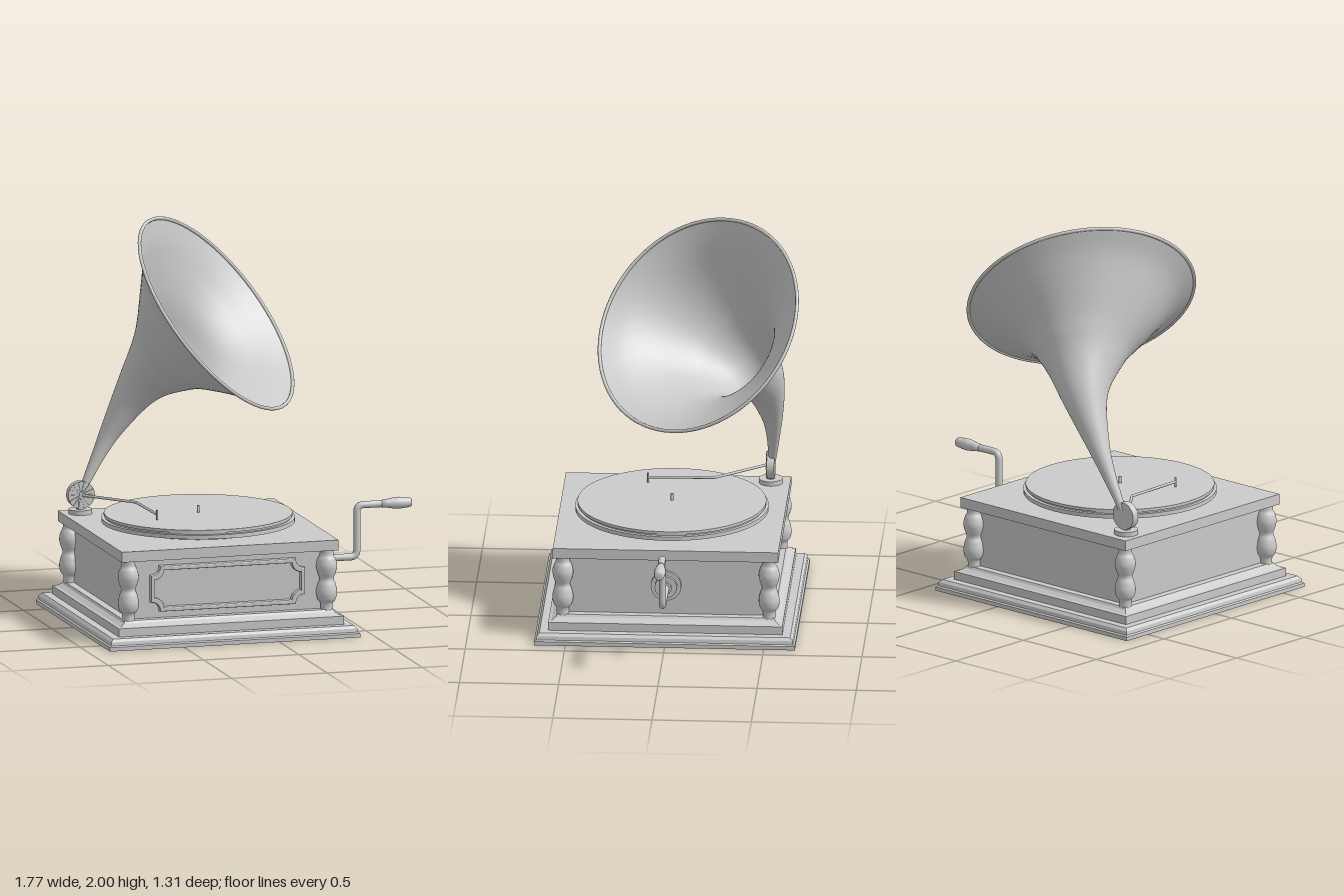
import * as THREE from 'three';

const CX = -0.2325; // cabinet centre in x
const V3 = (x, y, z) => new THREE.Vector3(x, y, z);

function material(extra = {}) {
  return new THREE.MeshStandardMaterial({ color: 0xcccccc, ...extra });
}

function add(parent, name, geometry, position = [0, 0, 0], extra) {
  const mesh = new THREE.Mesh(geometry, material(extra));
  mesh.name = name;
  mesh.position.set(...position);
  parent.add(mesh);
  return mesh;
}

const lathe = (points, segments = 32, start = 0) =>
  new THREE.LatheGeometry(points.map(([r, y]) => new THREE.Vector2(r, y)), segments, start);

const disc = (r, y0, y1, segments = 64) =>
  new THREE.CylinderGeometry(r, r, y1 - y0, segments).translate(0, (y0 + y1) / 2, 0);

// Rectangle whose corners are cut by concave quarter circles
function notchedRect(path, w, h, r) {
  path.moveTo(-w + r, -h);
  path.lineTo(w - r, -h);
  path.absarc(w, -h, r, Math.PI, Math.PI / 2, true);
  path.lineTo(w, h - r);
  path.absarc(w, h, r, -Math.PI / 2, -Math.PI, true);
  path.lineTo(-w + r, h);
  path.absarc(-w, h, r, 0, -Math.PI / 2, true);
  path.lineTo(-w, -h + r);
  path.absarc(-w, -h, r, Math.PI / 2, 0, true);
  return path;
}

function buildCabinet(root) {
  const cabinet = new THREE.Group();
  cabinet.name = 'cabinet';
  cabinet.position.x = CX;
  root.add(cabinet);

  // Moulded square plinth: a four-sided lathe
  const plinth = [[0, 0], [0.657, 0], [0.657, 0.02], [0.648, 0.026], [0.645, 0.044], [0.632, 0.058],
    [0.59, 0.058], [0.59, 0.1], [0.575, 0.104], [0.553, 0.118], [0.545, 0.13], [0, 0.13]]
    .map(([r, y]) => [r * Math.SQRT2, y]);
  add(cabinet, 'plinth', lathe(plinth, 4, Math.PI / 4).toNonIndexed(), [0, 0, 0], { flatShading: true });
  add(cabinet, 'body', new THREE.BoxGeometry(1.01, 0.31, 1.01), [0, 0.283, 0]);
  add(cabinet, 'lid', new THREE.BoxGeometry(1.136, 0.053, 1.136), [0, 0.461, 0]);

  // Turned corner posts
  const outline = new THREE.SplineCurve([[0.031, 0.125], [0.032, 0.16], [0.046, 0.18], [0.053, 0.215],
    [0.046, 0.255], [0.036, 0.285], [0.046, 0.315], [0.053, 0.35], [0.046, 0.385], [0.035, 0.408],
    [0.035, 0.436]].map(([r, y]) => new THREE.Vector2(r, y)));
  const post = new THREE.LatheGeometry(outline.getPoints(40), 24);
  for (const sx of [-1, 1]) {
    for (const sz of [-1, 1]) add(cabinet, 'cornerPost', post, [sx * 0.52, 0, sz * 0.52]);
  }

  // Raised frame on the front
  const frame = notchedRect(new THREE.Shape(), 0.4, 0.112, 0.048);
  frame.holes.push(notchedRect(new THREE.Path(), 0.387, 0.099, 0.048));
  add(cabinet, 'frontFrame', new THREE.ExtrudeGeometry(frame, {
    depth: 0.022, bevelSize: 0.005, bevelThickness: 0.008, bevelSegments: 2, curveSegments: 10,
  }), [0, 0.281, 0.505]);
}

function buildTurntable(root) {
  const turntable = new THREE.Group();
  turntable.name = 'turntable';
  turntable.position.x = CX;
  root.add(turntable);
  add(turntable, 'turntableHub', disc(0.378, 0.485, 0.512));
  add(turntable, 'platter', disc(0.487, 0.511, 0.532));
  add(turntable, 'platterStep', disc(0.468, 0.53, 0.54));
  add(turntable, 'record', disc(0.475, 0.54, 0.555));
  add(turntable, 'spindle', disc(0.007, 0.55, 0.59, 12));
}

function buildCrank(root) {
  const crank = new THREE.Group();
  crank.name = 'crank';
  crank.position.y = 0.281;
  root.add(crank);
  // Stepped flange on the cabinet side
  const flange = [[0, 0], [0.077, 0], [0.077, 0.018], [0.056, 0.018], [0.056, 0.038], [0.03, 0.038],
    [0.03, 0.055], [0, 0.055]];
  add(crank, 'crankFlange', lathe(flange).toNonIndexed().rotateZ(-Math.PI / 2), [0.272, 0, 0], { flatShading: true });

  // Rod with two rounded bends
  const path = new THREE.CurvePath();
  const b = 0.035, x = 0.6, h = 0.264;
  path.add(new THREE.LineCurve3(V3(0.28, 0, 0), V3(x - b, 0, 0)));
  path.add(new THREE.QuadraticBezierCurve3(V3(x - b, 0, 0), V3(x, 0, 0), V3(x, b, 0)));
  path.add(new THREE.LineCurve3(V3(x, b, 0), V3(x, h - b, 0)));
  path.add(new THREE.QuadraticBezierCurve3(V3(x, h - b, 0), V3(x, h, 0), V3(x + b, h, 0)));
  path.add(new THREE.LineCurve3(V3(x + b, h, 0), V3(0.74, h, 0)));
  add(crank, 'crankRod', new THREE.TubeGeometry(path, 100, 0.018, 16));

  const grip = [[0, 0], [0.019, 0], [0.022, 0.03], [0.029, 0.07], [0.03, 0.095], [0.026, 0.135],
    [0.023, 0.152], [0.018, 0.157], [0, 0.157]];
  add(crank, 'crankHandle', lathe(grip, 20).rotateZ(-Math.PI / 2), [0.728, h, 0]);
}

function buildToneArm(root) {
  const arm = new THREE.Group();
  arm.name = 'toneArm';
  root.add(arm);
  add(arm, 'armBase', disc(0.06, 0.485, 0.511, 32), [-0.712, 0, -0.47]);
  add(arm, 'armNeck', disc(0.022, 0.5, 0.56, 16), [-0.712, 0, -0.47]);
  // Round sound box with radial ribs on its face
  add(arm, 'soundBox', new THREE.CylinderGeometry(0.07, 0.07, 0.038, 32).rotateX(Math.PI / 2), [-0.71, 0.583, -0.472]);
  for (let i = 0; i < 14; i++) {
    const rib = new THREE.BoxGeometry(0.054, 0.006, 0.006).translate(0.04, 0, 0).rotateZ(i * Math.PI / 7);
    add(arm, 'soundBoxRib', rib, [-0.71, 0.583, -0.451]);
  }
  add(arm, 'soundBoxCentre', new THREE.CylinderGeometry(0.014, 0.014, 0.01, 16).rotateX(Math.PI / 2), [-0.71, 0.583, -0.45]);

  // Bent rod and needle
  const rod = new THREE.CurvePath();
  const bend = V3(-0.5, 0.583, -0.2);
  rod.add(new THREE.LineCurve3(V3(-0.71, 0.583, -0.455), bend));
  rod.add(new THREE.LineCurve3(bend, V3(-0.487, 0.583, 0.135)));
  add(arm, 'armRod', new THREE.TubeGeometry(rod, 40, 0.007, 10));
  add(arm, 'needle', disc(0.005, 0.556, 0.606, 10), [-0.487, 0, 0.135]);
}

function buildHorn(root) {
  const horn = new THREE.Group();
  horn.name = 'horn';
  root.add(horn);
  const mouth = V3(-0.097, 1.54, -0.14);
  const facing = V3(0.636, 0.615, 0.466).normalize();
  const axis = new THREE.CatmullRomCurve3([V3(-0.7, 0.6, -0.478), V3(-0.615, 0.77, -0.488), V3(-0.535, 0.92, -0.485),
    V3(-0.4, 1.145, -0.44), V3(-0.28, 1.315, -0.325), mouth.clone().addScaledVector(facing, -0.12), mouth]);
  const length = axis.getLength();

  // Flare: distance behind the mouth against radius
  const flare = new THREE.SplineCurve([[length, 0.017], [0.98, 0.038], [0.8, 0.068], [0.62, 0.11], [0.45, 0.175],
    [0.3, 0.26], [0.17, 0.37], [0.07, 0.475], [0, 0.575]].map(([d, r]) => new THREE.Vector2(d, r)));
  const rings = 64, sides = 64;
  const frames = axis.computeFrenetFrames(200, false);
  const positions = [], index = [];
  for (let i = 0; i <= rings; i++) {
    const { x: d, y: r } = flare.getPoint(i / rings);
    const u = THREE.MathUtils.clamp(1 - d / length, 0, 1);
    const c = axis.getPointAt(u);
    // Blend the section plane towards the mouth plane
    const t = axis.getTangentAt(u).lerp(facing, THREE.MathUtils.smoothstep(u, 0.6, 1)).normalize();
    const n = frames.normals[Math.round(u * 200)].clone();
    n.addScaledVector(t, -n.dot(t)).normalize();
    const b = t.clone().cross(n);
    for (let j = 0; j < sides; j++) {
      const a = j / sides * Math.PI * 2;
      const p = c.clone().addScaledVector(n, r * Math.cos(a)).addScaledVector(b, r * Math.sin(a));
      positions.push(p.x, p.y, p.z);
      if (i === rings) continue;
      const k = (j + 1) % sides, o = i * sides;
      index.push(o + j, o + k, o + sides + j, o + k, o + sides + k, o + sides + j);
    }
  }
  const bell = new THREE.BufferGeometry();
  bell.setAttribute('position', new THREE.Float32BufferAttribute(positions, 3));
  bell.setIndex(index);
  bell.computeVertexNormals();
  add(horn, 'hornBell', bell, [0, 0, 0], { side: THREE.DoubleSide });

  // Rolled rim
  const rim = add(horn, 'hornRim', new THREE.TorusGeometry(0.575, 0.009, 10, 80), mouth.toArray());
  rim.quaternion.setFromUnitVectors(V3(0, 0, 1), facing);
}

export function createModel() {
  const model = new THREE.Group();
  model.name = 'gramophone';
  buildCabinet(model);
  buildTurntable(model);
  buildCrank(model);
  buildToneArm(model);
  buildHorn(model);
  return model;
}
